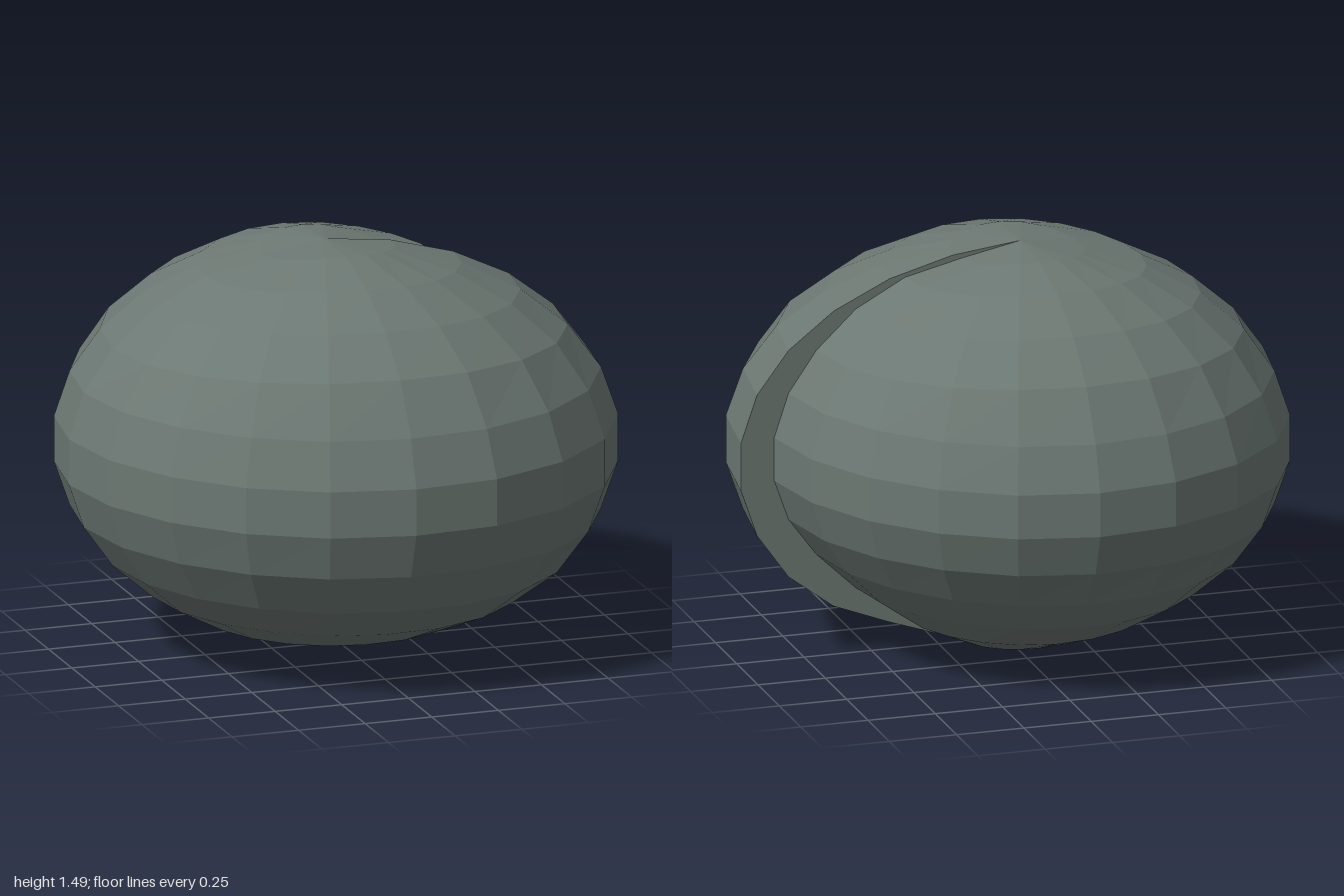
import * as THREE from 'three';

const SIDES = 20, RINGS = 13;
// outer radius at each step of the spiral turn
const RADII = [0.914, 0.905, 0.903, 0.911, 0.927, 0.941, 0.948, 0.957, 0.96, 0.957, 0.957,
  0.954, 0.953, 0.96, 0.974, 0.989, 1.011, 1.029, 1.039, 1.043, 1.038];
// ring heights from bottom pole to top pole, where the turn begins and ends
const START_Y = [0.01, 0.03, 0.13, 0.26, 0.40, 0.54, 0.69, 0.85, 1.01, 1.16, 1.30, 1.40, 1.45, 1.495];
const END_Y = [0.08, 0.09, 0.12, 0.20, 0.325, 0.49, 0.665, 0.84, 1.015, 1.17, 1.30, 1.40, 1.465, 1.495];

// point on ring i at step k of the turn
function point(k, i) {
  const angle = (k / SIDES) * Math.PI * 2;
  const r = i === 0 || i === RINGS ? 0 : (RADII[k] / 0.993) * Math.sin((i / RINGS) * Math.PI);
  let y = THREE.MathUtils.lerp(START_Y[i], END_Y[i], k / SIDES);
  // the shoulders rise slightly at front and back
  if (i > 8 && i < RINGS) y += 0.015 * (1 - Math.cos(2 * angle));
  return new THREE.Vector3(-0.043 + r * Math.cos(angle), y, -0.031 - r * Math.sin(angle));
}

// mesh made of four-cornered faces
function quadMesh(name, quads, material) {
  const points = [];
  for (const [a, b, c, d] of quads) points.push(a, b, c, a, c, d);
  const geometry = new THREE.BufferGeometry().setFromPoints(points);
  geometry.computeVertexNormals();
  const mesh = new THREE.Mesh(geometry, material);
  mesh.name = name;
  return mesh;
}

export function createModel() {
  const group = new THREE.Group();
  group.name = 'spiralShell';
  const shell = new THREE.MeshStandardMaterial({ color: 0x6c7873, side: THREE.DoubleSide, flatShading: true });
  shell.name = 'greyGreen';

  const body = [], crown = [], step = [];
  for (let i = 0; i < RINGS; i++) {
    for (let k = 0; k < SIDES; k++) {
      const quad = [point(k, i), point(k + 1, i), point(k + 1, i + 1), point(k, i + 1)];
      (i === RINGS - 1 ? crown : body).push(quad);
    }
    // wall joining the two ends of the turn
    step.push([point(0, i), point(0, i + 1), point(SIDES, i + 1), point(SIDES, i)]);
  }
  group.add(
    quadMesh('body', body, shell),
    quadMesh('crownDisc', crown, shell),
    quadMesh('spiralStep', step, shell),
  );
  return group;
}
